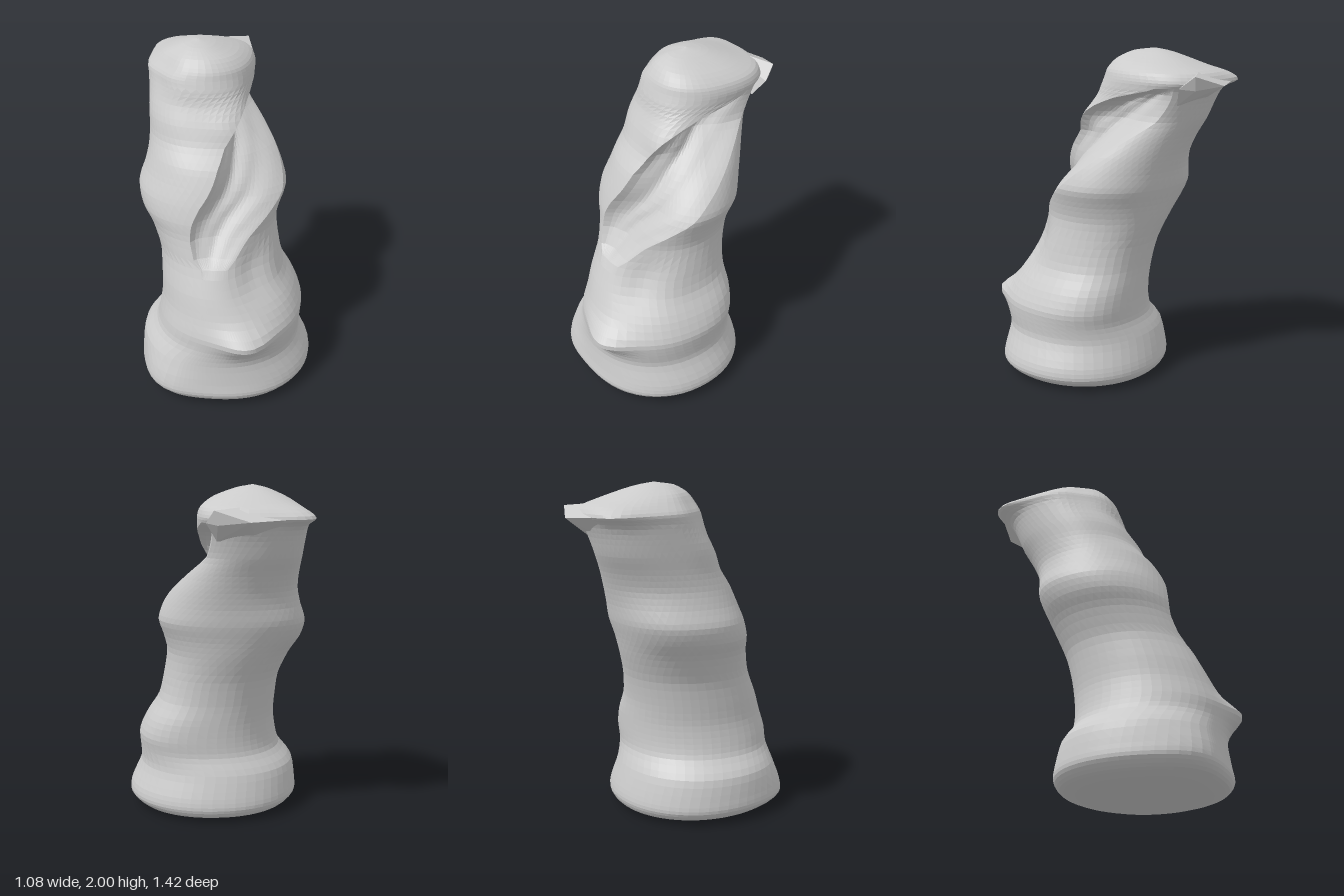
import * as THREE from 'three';
import { ConvexGeometry } from 'three/addons/geometries/ConvexGeometry.js';

const OUTSIDE = 44, INSIDE = 20, STEPS = 3;
const SEGMENTS = OUTSIDE + INSIDE;

// cross-sections from the foot up: y, xMin, xMax, zMin, zMax, tilt along z
const RINGS = [
  [0.005, -0.38, 0.42, -0.22, 0.54, 0], [0.03, -0.46, 0.49, -0.31, 0.63, 0],
  [0.08, -0.51, 0.54, -0.34, 0.66, 0], [0.15, -0.51, 0.53, -0.33, 0.65, 0],
  [0.28, -0.49, 0.47, -0.29, 0.64, 0], [0.38, -0.41, 0.47, -0.25, 0.64, 0],
  [0.47, -0.385, 0.47, -0.245, 0.64, 0], [0.58, -0.37, 0.42, -0.245, 0.6, 0],
  [0.7, -0.375, 0.35, -0.25, 0.55, 0], [0.85, -0.39, 0.32, -0.28, 0.48, 0],
  [1.0, -0.45, 0.30, -0.33, 0.43, 0], [1.1, -0.51, 0.32, -0.36, 0.41, 0],
  [1.2, -0.53, 0.35, -0.39, 0.38, 0], [1.3, -0.50, 0.32, -0.41, 0.34, 0],
  [1.4, -0.48, 0.27, -0.44, 0.29, 0], [1.5, -0.48, 0.2, -0.48, 0.21, 0],
  [1.6, -0.49, 0.13, -0.53, 0.16, 0], [1.7, -0.50, 0.12, -0.57, 0.11, 0],
  [1.78, -0.51, 0.12, -0.61, 0.09, 0], [1.83, -0.52, 0.12, -0.65, 0.07, 0.03],
  [1.88, -0.47, 0.1, -0.61, 0.05, 0.02], [1.93, -0.40, 0.03, -0.5, 0, 0.06],
  [1.98, -0.29, -0.1, -0.33, -0.08, 0.04], [2.0, -0.205, -0.195, -0.205, -0.195, 0],
];

// oblique gash: height, lower-lip angle, upper-lip angle, depth
const GASH = [
  [-0.1, 50, 120, 0], [0.84, 76, 97, 0], [0.9, 64, 103, 0.05], [1.0, 48, 102, 0.09],
  [1.1, 30, 97, 0.12], [1.2, 14, 92, 0.14], [1.4, -12, 78, 0.15], [1.5, -24, 67, 0.15],
  [1.6, -38, 50, 0.14], [1.66, -42, 39, 0.13], [1.71, -44, 22, 0.12],
  [1.75, -44, 2, 0.09], [1.79, -42, -22, 0], [2.1, -60, -10, 0],
];

function gashAt(y) {
  const k = GASH.findIndex((row) => row[0] > y);
  const a = GASH[k - 1], b = GASH[k], f = (y - a[0]) / (b[0] - a[0]);
  return [1, 2, 3].map((c) => a[c] + (b[c] - a[c]) * f);
}

const bump = (v, centre, width) => Math.exp(-(((v - centre) / width) ** 2));
const around = (degrees, centre, width) =>
  bump(THREE.MathUtils.euclideanModulo(degrees - centre + 180, 360) - 180, 0, width);

// lumps and dents of the bark: amount, angle, angular width, height, vertical width
const LUMPS = [
  [0.06, 47, 24, 1.6, 0.12],    // curtain edge above the gash
  [-0.05, 135, 30, 1.84, 0.14], // sloping front corner of the crown
  [0.07, -137, 22, 1.84, 0.05], // rear corner of the crown
  [0.05, -45, 32, 0.56, 0.24],  // rear flank
  [-0.06, 45, 24, 0.8, 0.18],   // flattened face below the gash
  [0.06, 124, 24, 0.12, 0.14],  // front corner of the foot
  [0.03, -135, 30, 1.22, 0.14], // rear end of the waist ridge
];

function swelling(y, degrees) {
  const fold = 0.08 * around(degrees, 70, 19) * bump(y, 0.46, y < 0.46 ? 0.08 : 0.07);
  return LUMPS.reduce((sum, [amount, angle, spread, height, rise]) =>
    sum + amount * around(degrees, angle, spread) * bump(y, height, rise), fold);
}

function bodyGeometry() {
  const curve = (cols) => new THREE.CatmullRomCurve3(
    RINGS.map((r) => new THREE.Vector3(...cols.map((c) => r[c]))), false, 'catmullrom', 0.4);
  const xCurve = curve([0, 1, 2]), zCurve = curve([5, 3, 4]);
  const rows = (RINGS.length - 1) * STEPS;
  const positions = [], index = [];
  for (let i = 0; i <= rows; i++) {
    const p = xCurve.getPoint(i / rows), q = zCurve.getPoint(i / rows);
    const cx = (p.y + p.z) / 2, rx = (p.z - p.y) / 2;
    const cz = (q.y + q.z) / 2, rz = (q.z - q.y) / 2;
    const power = 0.95 - 0.1 * THREE.MathUtils.smoothstep(p.x, 1.3, 1.8);
    const [lower, upper, depth] = gashAt(p.x);
    for (let j = 0; j < SEGMENTS; j++) {
      // columns follow both lips so that their edges stay clean
      const u = j / INSIDE;
      const inside = u <= 1;
      const degrees = inside ? lower + (upper - lower) * u
        : upper + (360 - upper + lower) * ((j - INSIDE) / OUTSIDE);
      const angle = (degrees * Math.PI) / 180, c = Math.cos(angle), s = Math.sin(angle);
      let offset = swelling(p.x, degrees);
      if (inside) {
        // shallow towards the lower lip, steep under the upper lip
        const pleats = 1 + 0.06 * Math.sin(u * 15 + p.x * 12);
        offset -= depth * Math.max(0, Math.sin(Math.PI * u ** 1.6)) ** 0.65 * pleats;
      }
      const x = cx + Math.sign(c) * Math.abs(c) ** power * rx + c * offset;
      const z = cz + Math.sign(s) * Math.abs(s) ** power * rz + s * offset;
      positions.push(x, p.x + q.x * (z - cz), z);
    }
  }
  for (let i = 0; i < rows; i++) {
    for (let j = 0; j < SEGMENTS; j++) {
      const k = (j + 1) % SEGMENTS;
      const a = i * SEGMENTS + j, b = i * SEGMENTS + k;
      const d = a + SEGMENTS, e = b + SEGMENTS;
      index.push(a, d, e, a, e, b);
    }
  }
  // flat underside and closing point at the crown
  const foot = positions.length / 3, top = foot + 1, last = rows * SEGMENTS;
  positions.push(0.02, 0, 0.16, -0.2, 2.0, -0.2);
  for (let j = 0; j < SEGMENTS; j++) {
    const k = (j + 1) % SEGMENTS;
    index.push(foot, j, k, top, last + k, last + j);
  }
  const geometry = new THREE.BufferGeometry();
  geometry.setAttribute('position', new THREE.Float32BufferAttribute(positions, 3));
  geometry.setIndex(index);
  geometry.computeVertexNormals();
  return geometry;
}

export function createModel() {
  const group = new THREE.Group();
  group.name = 'hollowStump';
  const material = new THREE.MeshStandardMaterial({ color: 0xcccccc, flatShading: true });

  const trunk = new THREE.Mesh(bodyGeometry(), material);
  trunk.name = 'trunk';

  // jagged lip projecting from the back of the crown
  const lip = [
    [-0.15, 1.81, -0.72], [0.04, 1.87, -0.65], [-0.28, 1.9, -0.49], [0.08, 1.8, -0.57],
    [0.02, 1.79, -0.64], [-0.38, 1.82, -0.63], [0.02, 1.7, -0.52], [-0.2, 1.7, -0.52],
  ];
  const backLip = new THREE.Mesh(
    new ConvexGeometry(lip.map((v) => new THREE.Vector3(...v))), material);
  backLip.name = 'backLip';

  group.add(trunk, backLip);
  return group;
}
